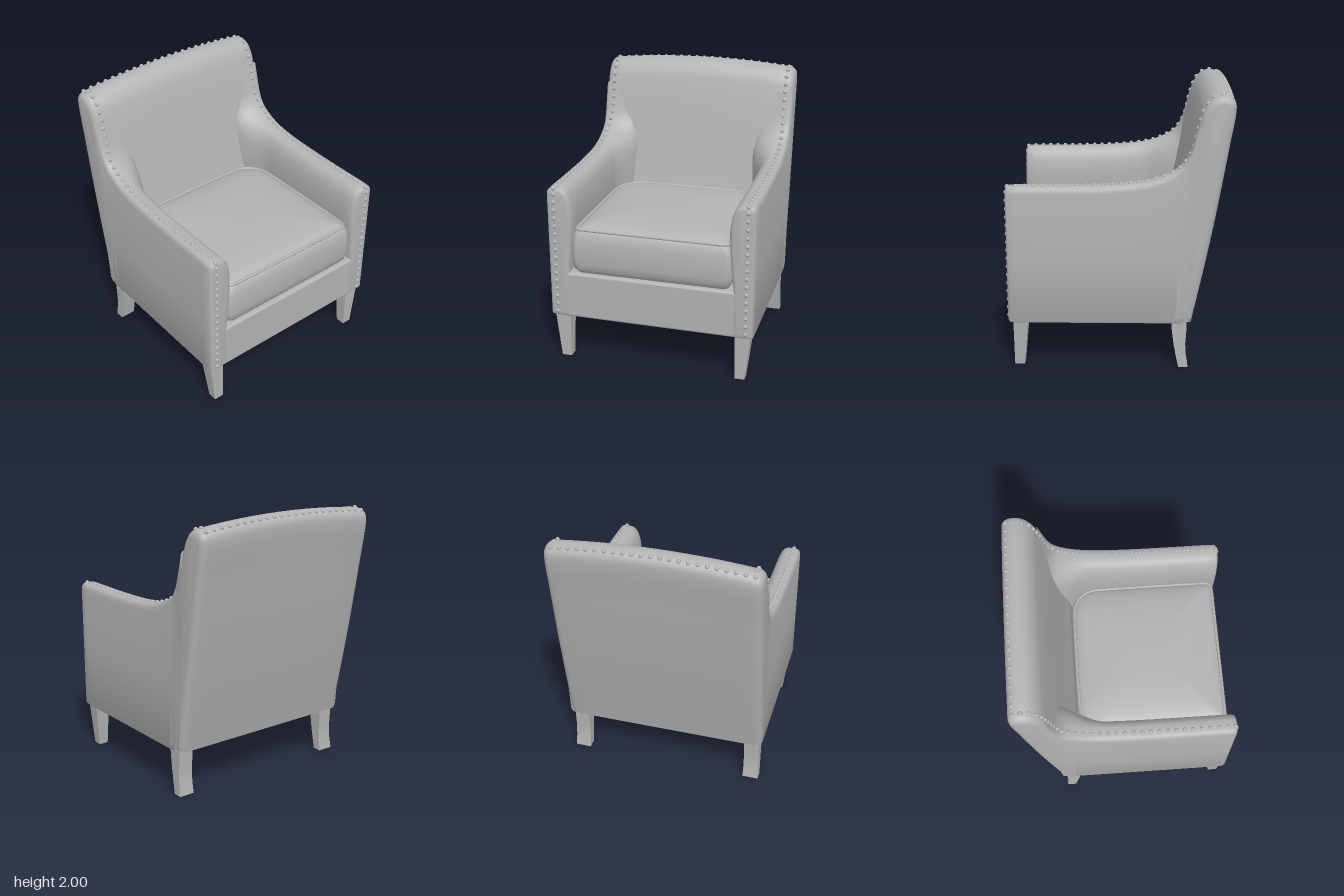
import * as THREE from 'three';
import { toCreasedNormals } from 'three/addons/utils/BufferGeometryUtils.js';
import { RoundedBoxGeometry } from 'three/addons/geometries/RoundedBoxGeometry.js';

const BASE = 0.34; // underside of the upholstered body
const HALF = 0.755; // half width of the body

// Skins a list of closed rings of [x, y, z] and caps both ends.
function loft(rings, crease = 0.8) {
  const n = rings[0].length, pos = rings.flat(2), idx = [];
  for (let r = 0; r < rings.length - 1; r++) {
    for (let i = 0; i < n; i++) {
      const a = r * n + i, b = r * n + (i + 1) % n;
      idx.push(a, b, b + n, a, b + n, a + n);
    }
  }
  [0, rings.length - 1].forEach((r, end) => {
    const centre = pos.length / 3;
    pos.push(...[0, 1, 2].map(k => rings[r].reduce((s, p) => s + p[k], 0) / n));
    for (let i = 0; i < n; i++) {
      const a = r * n + i, b = r * n + (i + 1) % n;
      idx.push(...(end ? [a, b, centre] : [b, a, centre]));
    }
  });
  // Turn the faces outward when the rings run the other way.
  const at = i => new THREE.Vector3().fromArray(pos, i * 3);
  let volume = 0;
  for (let i = 0; i < idx.length; i += 3) {
    volume += at(idx[i]).dot(at(idx[i + 1]).cross(at(idx[i + 2])));
  }
  if (volume < 0) idx.reverse();
  const g = new THREE.BufferGeometry();
  g.setAttribute('position', new THREE.Float32BufferAttribute(pos, 3));
  g.setIndex(idx);
  return toCreasedNormals(g, crease);
}

// Smooth curve through [z, y] points in the side plane.
const sideCurve = pts =>
  new THREE.CatmullRomCurve3(pts.map(([z, y]) => new THREE.Vector3(0, y, z)), false, 'centripetal');

const backZ = y => {
  const t = THREE.MathUtils.clamp((y - BASE) / 1.56, 0, 1);
  return -0.51 - 0.28 * t - 0.018 * Math.sin(Math.PI * t);
};
// Lowers the top edge of the back towards its corners.
const crownDrop = (x, y) => 0.04 * (x / 0.72) ** 2 * THREE.MathUtils.smoothstep(y, 1.3, 1.95);

// Top line of the arm, sweeping up into the back.
const armTop = sideCurve([[0.79, 1.33], [0.3, 1.333], [0, 1.345], [-0.2, 1.37], [-0.33, 1.412],
  [-0.43, 1.475], [-0.48, 1.55], [-0.52, 1.68], [-0.55, 1.8]]);

function armGeometry(side) {
  const section = (z, T, inset) => {
    const w = 0.1 * THREE.MathUtils.smoothstep(-z, 0.15, 0.48); // fillet into the back
    const pts = [[0.748, BASE], [HALF, BASE + 0.012], [HALF, 0.8], [HALF, T - 0.05], [0.75, T - 0.022],
      [0.738, T - 0.007], [0.718, T], [0.655, T], [0.625 - w * 0.3, T - 0.014], [0.602 - w * 0.6, T - 0.045],
      [0.583 - w * 0.9, T - 0.1], [0.572 - w, T - 0.19], [0.575 - w, 1.02], [0.588 - w, 0.86],
      [0.605 - w, 0.69], [0.605, BASE]];
    return pts.map(([x, y]) => [
      side * (0.675 + (x - 0.675) * (1 - inset / 0.09)),
      0.83 + (y - 0.83) * (1 - inset / 0.5),
      Math.max(z, backZ(y) + 0.06)]);
  };
  const rings = [];
  const r = 0.03;
  for (let k = 0; k < 4; k++) {
    const a = k / 4 * Math.PI / 2;
    rings.push(section(0.79 - r + r * Math.cos(a), 1.33, r * (1 - Math.sin(a))));
  }
  for (const p of armTop.getPoints(48)) if (p.z < 0.76) rings.push(section(p.z, p.y, 0));
  return loft(rings);
}

const backFront = [[-0.36, 0.9], [-0.4, 1.1], [-0.45, 1.35], [-0.5, 1.6], [-0.55, 1.82], [-0.58, 1.91]];

function backGeometry() {
  const rear = [1.9, 1.65, 1.4, 1.1, 0.8, 0.55, 0.36, BASE].map(y => [backZ(y), y]);
  const outline = sideCurve([[-0.36, BASE], ...backFront, [-0.63, 1.975], [-0.69, 2], [-0.75, 1.99],
    [-0.783, 1.955], ...rear]).getPoints(72);
  const n = outline.length;
  const ring = (x, inset) => outline.map((p, i) => {
    const d = outline[(i + 1) % n].clone().sub(outline[(i + n - 1) % n]).normalize();
    const y = Math.max(BASE, p.y + d.z * inset);
    return [x, y - crownDrop(x, y), p.z - d.y * inset];
  });
  const r = 0.05, left = [];
  for (let k = 0; k <= 5; k++) {
    const a = (1 - k / 5) * Math.PI / 2;
    left.push([HALF - r + r * Math.sin(a), r * (1 - Math.cos(a))]);
  }
  const stations = [...left];
  for (let k = 1; k < 12; k++) stations.push([(HALF - r) * (1 - k / 6), 0]);
  stations.push(...left.slice().reverse().map(([x, d]) => [-x, d]));
  return loft(stations.map(([x, d]) => ring(x, d)));
}

// Plan outline of the seat cushion: tight front corners, wide rear corners.
function cushionOutline(inset) {
  const w = 0.59 - inset, front = 0.778 - inset, rear = -0.362 + inset, pts = [];
  const k = w / 0.59;
  for (const [sx, z, r, start] of [[1, front, 0.05, 0], [-1, front, 0.05, 1], [-1, rear, 0.2, 2], [1, rear, 0.2, 3]]) {
    const rad = r * k, cz = z > 0.2 && r < 0.1 ? z - rad : z + rad;
    for (let i = 0; i <= 8; i++) {
      const a = (start + i / 8) * Math.PI / 2;
      pts.push([sx * (w - rad) + rad * Math.cos(a), cz + rad * Math.sin(a)]);
    }
  }
  return pts;
}
const seamLift = x => 0.018 * (1 - (x / 0.59) ** 2);

function cushionGeometry() {
  const levels = [[0.68, 0.06], [0.69, 0.03], [0.72, 0.01], [0.77, 0.002], [0.85, 0], [0.93, 0.003],
    [0.98, 0.012], [1.012, 0.03], [1.03, 0.06], [1.046, 0.12], [1.06, 0.22], [1.07, 0.36], [1.073, 0.5]];
  return loft(levels.map(([y, d]) => cushionOutline(d).map(([x, z]) =>
    [x, y + (y > 0.95 ? seamLift(x) : 0), z])), 1);
}

function pipingGeometry() {
  const pts = cushionOutline(0.03).map(([x, z]) => new THREE.Vector3(x, 1.016 + seamLift(x), z));
  return new THREE.TubeGeometry(new THREE.CatmullRomCurve3(pts, true, 'centripetal'), 160, 0.011, 8, true);
}

// Square leg from rows of [y, inner x, outer x, rear z, front z].
const legGeometry = (rows, side) => loft(rows.map(([y, x0, x1, z0, z1]) =>
  [[x0, z0], [x1, z0], [x1, z1], [x0, z1]].map(([x, z]) => [side * x, y, z])), 0.5);

const frontLegRows = [[0.36, 0.618, 0.735, 0.648, 0.755], [0, 0.622, 0.695, 0.684, 0.755]];
const rearLegRows = [[0.36, 0.618, 0.733, -0.48, -0.37], [0.27, 0.619, 0.732, -0.478, -0.376],
  [0.18, 0.62, 0.733, -0.472, -0.388], [0.09, 0.62, 0.735, -0.477, -0.405], [0, 0.62, 0.738, -0.492, -0.424]];

export function createModel() {
  const group = new THREE.Group();
  const fabric = new THREE.MeshStandardMaterial({ color: 0xb3b3b3 });
  fabric.name = 'plain grey';
  const add = (name, geometry) => {
    const mesh = new THREE.Mesh(geometry, fabric);
    mesh.name = name;
    group.add(mesh);
    return mesh;
  };

  // Upholstered body
  add('seatBase', new RoundedBoxGeometry(1.42, 0.35, 1.267, 4, 0.02)).position.set(0, BASE + 0.175, 0.153);
  add('backrest', backGeometry());
  add('seatCushion', cushionGeometry());
  add('cushionPiping', pipingGeometry());

  // Arms and legs
  for (const [side, label] of [[1, 'left'], [-1, 'right']]) {
    add(label + 'Arm', armGeometry(side));
    add(label + 'FrontLeg', legGeometry(frontLegRows, side));
    add(label + 'RearLeg', legGeometry(rearLegRows, side));
  }

  // Nail heads, spaced evenly along the trim lines
  const nail = new THREE.SphereGeometry(0.016, 10, 8);
  const nailRow = (name, points, spacing) => {
    const curve = new THREE.CatmullRomCurve3(points, false, 'centripetal');
    const count = Math.round(curve.getLength() / spacing);
    const row = new THREE.Group();
    row.name = name;
    for (const p of curve.getSpacedPoints(count)) {
      const head = new THREE.Mesh(nail, fabric);
      head.name = 'nailHead';
      head.position.copy(p);
      row.add(head);
    }
    group.add(row);
  };
  for (const [side, label] of [[1, 'left'], [-1, 'right']]) {
    const v = (x, y, z) => new THREE.Vector3(side * x, y, z);
    nailRow(label + 'FrontNails', [v(0.7, 0.38, 0.786), v(0.7, 1.285, 0.786)], 0.062);
    const sweep = armTop.getPoints(24).filter(p => p.z < 0.77 && p.z > -0.48).map(p => v(0.703, p.y, p.z));
    const wing = backFront.slice(3).map(([z, y]) => v(0.695, y - crownDrop(0.695, y), z));
    nailRow(label + 'ArmNails', [v(0.7, 1.325, 0.776), ...sweep, ...wing, v(0.695, 1.94, -0.63),
      v(0.695, 1.962, -0.7)], 0.06);
  }
  const top = [];
  for (let i = 0; i <= 12; i++) {
    const x = -0.7 + i * 1.4 / 12;
    top.push(new THREE.Vector3(x, 1.983 - crownDrop(x, 1.98), -0.757));
  }
  nailRow('topNails', top, 0.063);
  return group;
}
